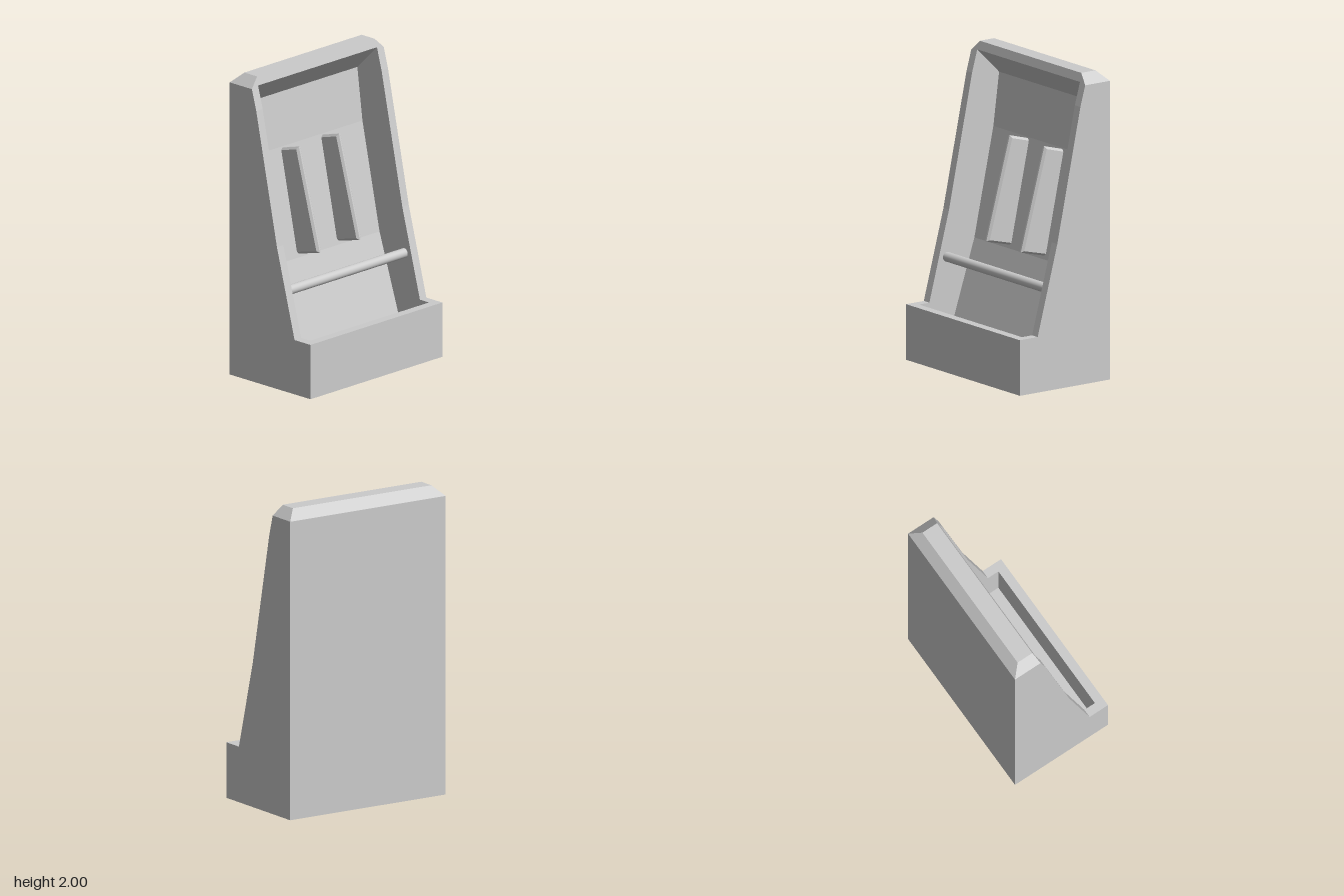
import * as THREE from 'three';

const W = 0.593, INNER = 0.535, BACK = -0.355, CH = 0.065;
const mat = new THREE.MeshStandardMaterial({ color: 0xcccccc });

// Piecewise linear lookup of z over [y, z] points
function zAt(points, y) {
  for (let i = 1; i < points.length; i++) {
    const [y0, z0] = points[i - 1], [y1, z1] = points[i];
    if (y <= y1) return z0 + (z1 - z0) * (y - y0) / (y1 - y0);
  }
  return points[points.length - 1][1];
}

// Front edge of the side walls, and the recessed wall with its sloping ceiling
const FRONT = [[0, 0.215], [0.36, 0.215], [0.94, 0.06], [1.8, -0.122], [2, -0.178]];
const RECESS = [[0, 0.125], [0.06, 0.125], [0.12, 0.06], [0.73, -0.14],
  [1.43, -0.29], [1.775, -0.335], [1.945, zAt(FRONT, 1.945)]];

// Housing: U-shaped sections stacked upwards, closing at the top of the recess
function housingGeometry() {
  const levels = [0, 0.06, 0.12, 0.36, 0.73, 0.94, 1.43, 1.775, 1.8, 1.935, 1.945, 2];
  const loops = levels.map((y) => {
    const cut = Math.max(0, y - (2 - CH));
    const x = W - cut, b = BACK + cut;
    const inner = Math.min(INNER, x - 0.005);
    const f = zAt(FRONT, y);
    const g = y >= 1.945 ? f : zAt(RECESS, y);
    return [[-x, b], [-x, f], [-inner, f], [-inner, g], [inner, g], [inner, f], [x, f], [x, b]]
      .map(([px, pz]) => [px, y, pz]);
  });
  const pos = [];
  const quad = (a, b, c, d) => pos.push(...a, ...b, ...c, ...a, ...c, ...d);
  for (let k = 0; k + 1 < loops.length; k++) {
    const lo = loops[k], hi = loops[k + 1];
    // the inner faces vanish above the recess
    for (let i = 0; i < 8; i++) {
      if (levels[k] >= 1.945 && (i === 2 || i === 4)) continue;
      const j = (i + 1) % 8;
      quad(lo[i], lo[j], hi[j], hi[i]);
    }
  }
  const bottom = loops[0], top = loops[loops.length - 1];
  for (const [a, b, c, d] of [[0, 1, 2, 3], [4, 5, 6, 7], [0, 3, 4, 7]]) {
    quad(bottom[d], bottom[c], bottom[b], bottom[a]);
    quad(top[a], top[b], top[c], top[d]);
  }
  const geo = new THREE.BufferGeometry();
  geo.setAttribute('position', new THREE.Float32BufferAttribute(pos, 3));
  geo.computeVertexNormals();
  return geo;
}

// Box given by its limits on each axis
function block(name, [x0, x1], [y0, y1], [z0, z1]) {
  const mesh = new THREE.Mesh(new THREE.BoxGeometry(x1 - x0, y1 - y0, z1 - z0), mat);
  mesh.position.set((x0 + x1) / 2, (y0 + y1) / 2, (z0 + z1) / 2);
  mesh.name = name;
  return mesh;
}

// Chamfered rib, drawn in side profile (z, y) and extruded across x
function ribGeometry() {
  const shape = new THREE.Shape([[0.04, 0.8], [-0.145, 1.462], [-0.315, 1.415], [-0.18, 0.745]]
    .map(([z, y]) => new THREE.Vector2(z, y)));
  const bevel = 0.014;
  const geo = new THREE.ExtrudeGeometry(shape, {
    depth: 0.04 - 2 * bevel, bevelEnabled: true, bevelSegments: 1,
    bevelSize: bevel, bevelThickness: bevel, bevelOffset: -bevel,
  });
  geo.translate(0, 0, bevel - 0.02);
  geo.rotateY(-Math.PI / 2);
  return geo;
}

export function createModel() {
  const model = new THREE.Group();
  model.name = 'wallDispenser';

  const housing = new THREE.Mesh(housingGeometry(), mat);
  housing.name = 'housing';
  model.add(housing);

  // Trough at the foot
  const trough = new THREE.Group();
  trough.name = 'trough';
  trough.add(
    block('frontLip', [-W, W], [0, 0.36], [0.295, 0.355]),
    block('leftLip', [INNER, W], [0, 0.36], [0.215, 0.295]),
    block('rightLip', [-W, -INNER], [0, 0.36], [0.215, 0.295]),
    block('troughFloor', [-INNER, INNER], [0, 0.06], [0.125, 0.295]),
  );
  model.add(trough);

  // Cross bar between the side walls
  const bar = new THREE.Mesh(new THREE.CylinderGeometry(0.031, 0.031, 2 * INNER, 32), mat);
  bar.rotation.z = Math.PI / 2;
  bar.position.set(0, 0.638, 0.077);
  bar.name = 'crossBar';
  model.add(bar);

  // Pair of ribs on the recessed wall
  const ribGeo = ribGeometry();
  for (const side of [1, -1]) {
    const rib = new THREE.Mesh(ribGeo, mat);
    rib.position.x = 0.18 * side;
    rib.name = side > 0 ? 'leftRib' : 'rightRib';
    model.add(rib);
  }
  return model;
}
